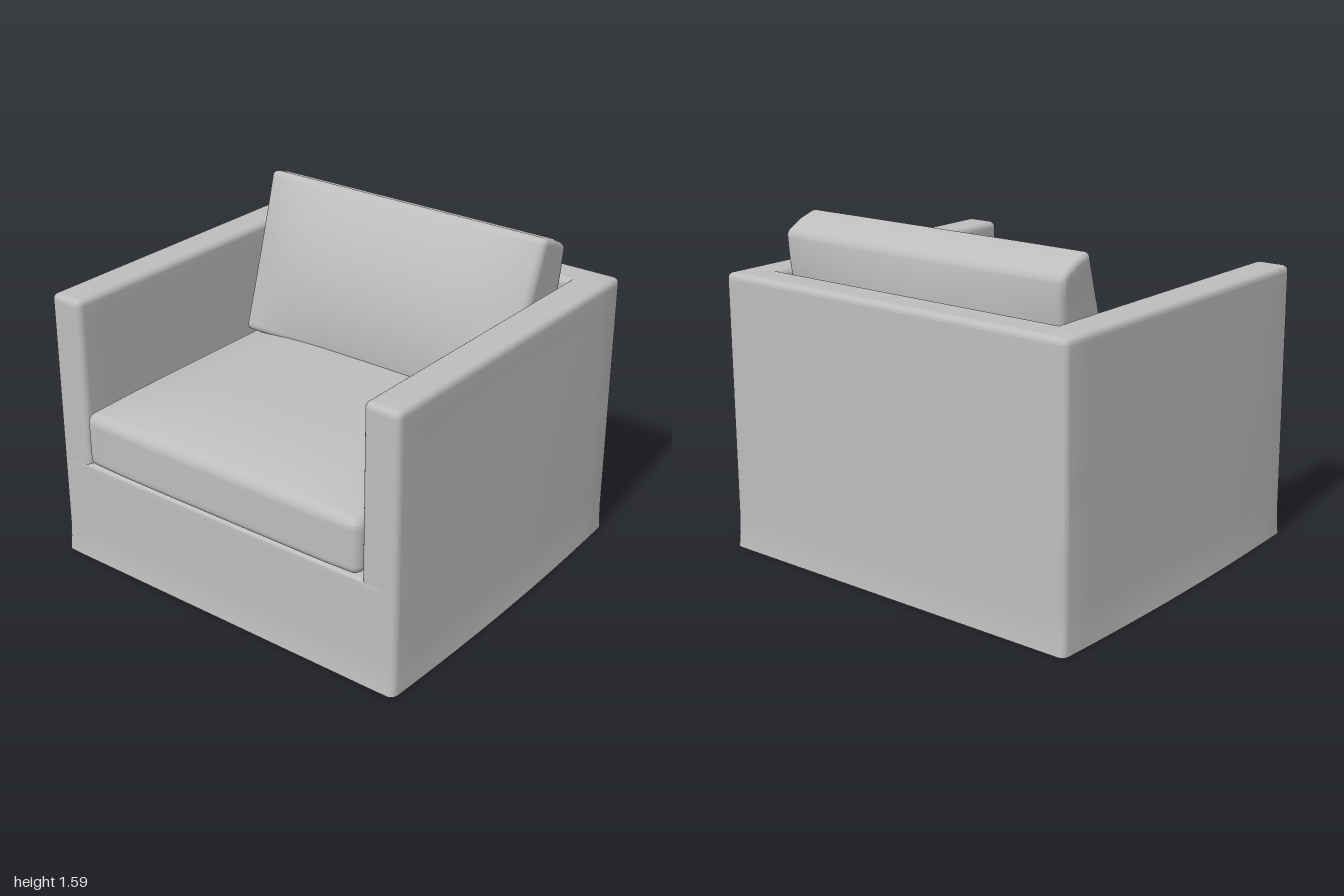
import * as THREE from 'three';
import { mergeVertices, toCreasedNormals } from 'three/addons/utils/BufferGeometryUtils.js';

const fabric = new THREE.MeshStandardMaterial({ color: 0xbdbdbd });
fabric.name = 'grey fabric';

const ARM_X = 0.968, INNER_X = 0.79, FRONT_Z = 0.865, BACK_Z = -0.88, INNER_Z = -0.7;
const HEIGHT = 1.347, BASE_TOP = 0.525, EDGE = 0.03, FLOOR = 0.01;

// Smooth box with rounded edges, spanning two corners, with vertices moved by a rule.
// The rule gets the point and its relative position (-1 to 1) in the box.
function softBox(min, max, r, rule) {
  const g = new THREE.BoxGeometry(2, 2, 2, 20, 30, 20);
  g.deleteAttribute('uv');
  g.deleteAttribute('normal');
  const box = new THREE.Box3(new THREE.Vector3(...min), new THREE.Vector3(...max));
  const half = box.getSize(new THREE.Vector3()).multiplyScalar(0.5);
  const center = box.getCenter(new THREE.Vector3());
  const p = new THREE.Vector3(), core = new THREE.Vector3(), out = new THREE.Vector3();
  const pos = g.attributes.position;
  for (let i = 0; i < pos.count; i++) {
    p.fromBufferAttribute(pos, i);
    for (const a of ['x', 'y', 'z']) {
      const t = Math.abs(p[a]), s = Math.sign(p[a]);
      core[a] = s * (half[a] - r) * Math.min(1, t / 0.6);
      out[a] = t > 0.6001 ? s * Math.tan((t - 0.6) / 0.4 * Math.PI / 4) : 0;
    }
    p.copy(core).addScaledVector(out.normalize(), r);
    const u = p.clone().divide(half);
    p.add(center);
    rule(p, u.x, u.y, u.z);
    pos.setXYZ(i, p.x, p.y, p.z);
  }
  return toCreasedNormals(mergeVertices(g, 1e-5), 0.7);
}

// Slipcover hem: flat at the floor, with the outer faces swinging out a little
function flareHem(p) {
  p.y = Math.max(FLOOR, p.y);
  const k = Math.max(0, 1 - p.y / 0.16) ** 2;
  const lean = Math.max(0, 1 - p.y / 1.25);
  const side = THREE.MathUtils.smoothstep(Math.abs(p.x), 0.9, ARM_X);
  const front = THREE.MathUtils.smoothstep(p.z, FRONT_Z - 0.06, FRONT_Z);
  const back = THREE.MathUtils.smoothstep(-p.z, -BACK_Z - 0.06, -BACK_Z);
  p.x += Math.sign(p.x) * side * (0.012 * k + 0.02 * lean) * (1 - p.z * p.z);
  p.z += front * (0.012 * k + 0.01 * lean) - back * 0.012 * k;
}

export function createModel() {
  const group = new THREE.Group();
  group.name = 'armchair';
  const add = (name, geometry) => {
    const mesh = new THREE.Mesh(geometry, fabric);
    mesh.name = name;
    group.add(mesh);
    return mesh;
  };

  // Arms, running the full depth
  add('leftArm', softBox([INNER_X, -EDGE, BACK_Z], [ARM_X, HEIGHT, FRONT_Z], EDGE, flareHem));
  add('rightArm', softBox([-ARM_X, -EDGE, BACK_Z], [-INNER_X, HEIGHT, FRONT_Z], EDGE, flareHem));

  // Back, sunk into the arms so the top and rear run on flush
  add('back', softBox([-0.93, -EDGE, BACK_Z], [0.93, HEIGHT, INNER_Z], EDGE, flareHem));

  // Front apron and floor under the seat
  add('base', softBox([-0.91, -EDGE, INNER_Z - 0.1], [0.91, BASE_TOP, FRONT_Z + 0.001], 0.015, flareHem));

  // Seat cushion with a crowned top
  add('seatCushion', softBox([-0.787, 0.532, -0.69], [0.787, 0.8, 0.883], 0.045, (p, x, y, z) => {
    if (y > 0) p.y += 0.075 * y * (1 - x ** 4) * (1 - z ** 4);
    if (z > 0) p.z += 0.012 * z * (1 - x ** 6);
  }));

  // Leaning back cushion, fuller on both faces than at its seams
  const pillow = add('backCushion', softBox([-0.79, -0.405, -0.102], [0.79, 0.405, 0.102], 0.028, (p, x, y, z) => {
    const puff = 1 - y * y;
    if (z > 0) p.z += 0.085 * z * puff * (1 - x ** 4);
    else p.z += 0.105 * z * puff * (1 - 0.35 * x * x);
    if (z < 0 && y > 0) p.y += 0.02 * z * y;
    p.x *= 0.99 + 0.01 * y - 0.008 * puff;
  }));
  pillow.position.set(0, 1.194, -0.452);
  pillow.rotation.x = -0.315;

  return group;
}
